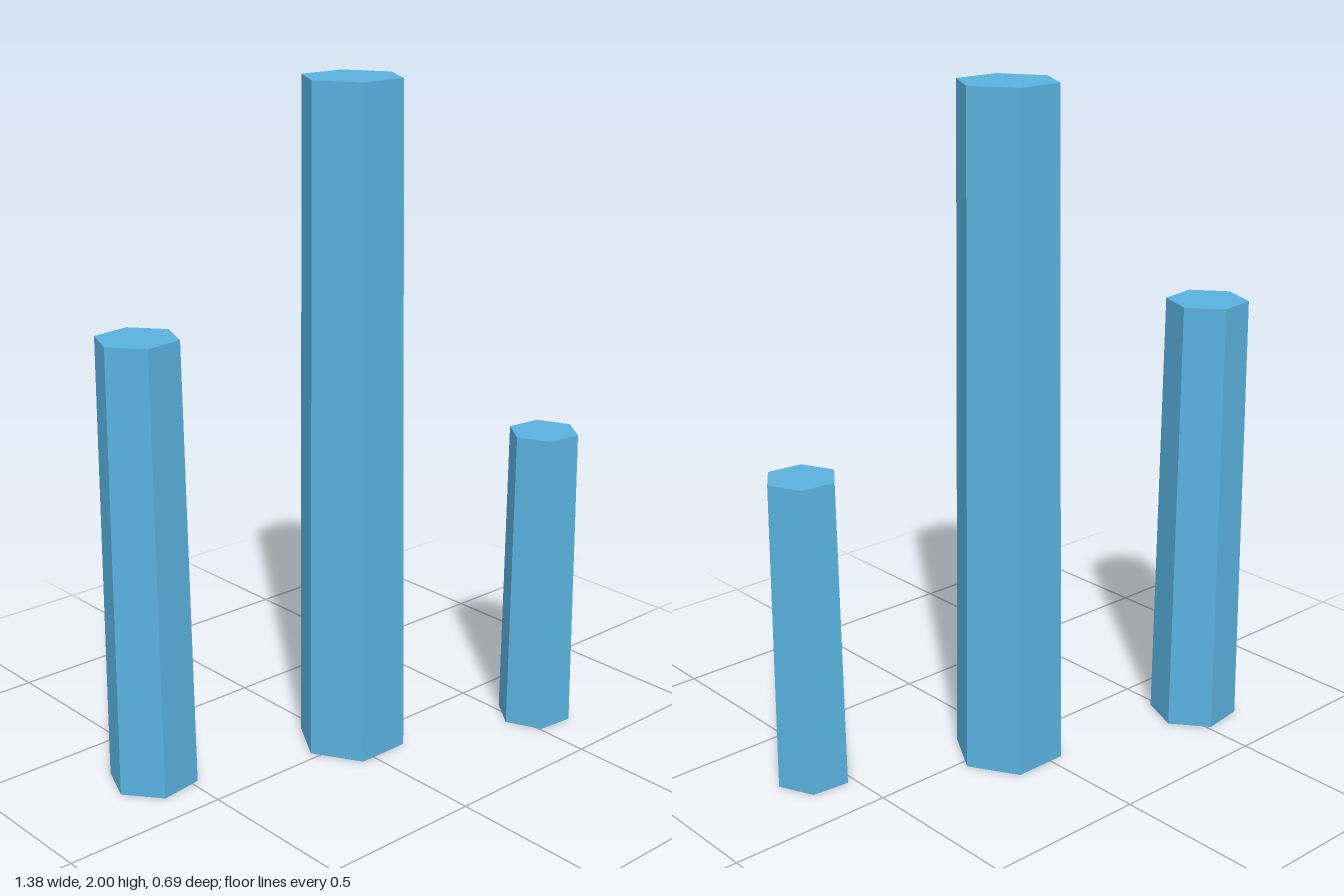
import * as THREE from 'three';

export function createModel() {
  const model = new THREE.Group();
  model.name = 'crystalColumns';
  const blue = new THREE.MeshStandardMaterial({ color: 0x5ab2e0 });
  blue.name = 'crystal blue';
  blue.flatShading = true;

  // Tapered hexagonal column standing on the ground; turn 0 puts a corner on +x
  function addColumn(name, x, z, bottom, top, height, turn) {
    const geometry = new THREE.CylinderGeometry(top, bottom, height, 6);
    geometry.rotateY(Math.PI / 6 + turn);
    const column = new THREE.Mesh(geometry, blue);
    column.name = name;
    column.position.set(x, height / 2, z);
    model.add(column);
  }

  addColumn('tallColumn', 0.04, -0.027, 0.165, 0.146, 2, 0);
  addColumn('middleColumn', -0.56, -0.228, 0.132, 0.12, 1.333, 0.145);
  addColumn('shortColumn', 0.572, 0.239, 0.115, 0.106, 0.934, -0.1);

  return model;
}
